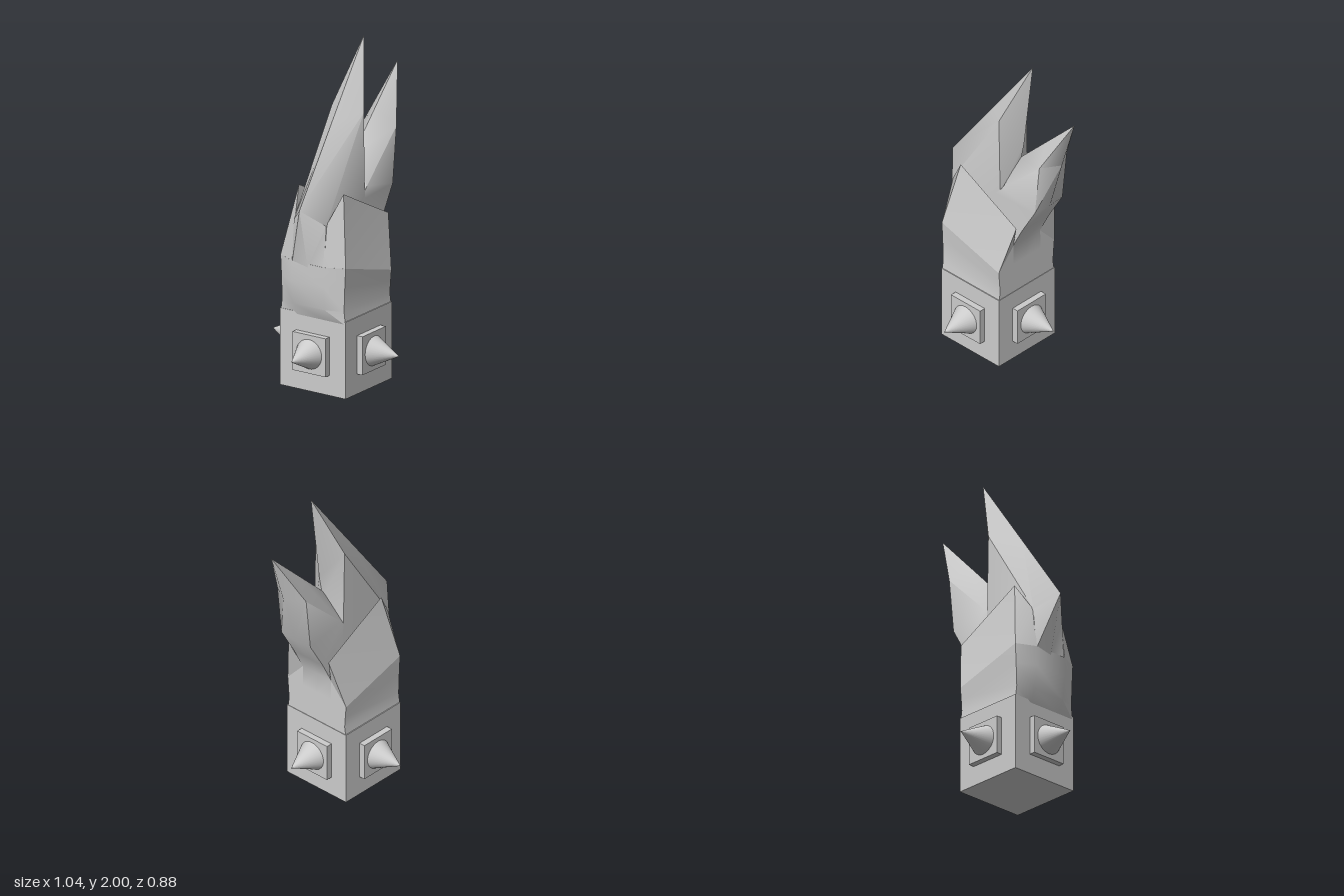
import * as THREE from 'three';
import { toCreasedNormals } from 'three/addons/utils/BufferGeometryUtils.js';

const material = new THREE.MeshStandardMaterial({ color: 0xcccccc });
const CX = -0.085, CZ = -0.008;

function add(parent, name, geometry) {
  const mesh = new THREE.Mesh(geometry, material);
  mesh.name = name;
  parent.add(mesh);
  return mesh;
}

// Skin a run of equal-sized rings of [x, y, z], close both ends, face outward
function loft(rings, crease) {
  const tris = [];
  const push = (...t) => {
    const [a, b, c] = t.map(p => new THREE.Vector3(...p));
    if (new THREE.Triangle(a, b, c).getArea() > 1e-6) tris.push([a, b, c]);
  };
  const n = rings[0].length;
  for (let r = 0; r < rings.length - 1; r++) {
    for (let i = 0; i < n; i++) {
      const j = (i + 1) % n;
      push(rings[r][i], rings[r][j], rings[r + 1][j]);
      push(rings[r][i], rings[r + 1][j], rings[r + 1][i]);
    }
  }
  const first = rings[0], last = rings[rings.length - 1];
  for (let i = 1; i < n - 1; i++) {
    push(first[0], first[i + 1], first[i]);
    push(last[0], last[i], last[i + 1]);
  }
  let volume = 0;
  for (const [a, b, c] of tris) volume += a.dot(b.clone().cross(c));
  if (volume < 0) tris.forEach(t => t.reverse());
  const geometry = new THREE.BufferGeometry().setFromPoints(tris.flat());
  return toCreasedNormals(geometry, crease);
}

// Six-sided spike section: back ridge, back sides, front sides, front ridge
function section(backMid, backSide, frontSide, frontMid) {
  const w = 0.112;
  return [
    [...backMid, 0], [...backSide, w], [...frontSide, w],
    [...frontMid, 0], [...frontSide, -w], [...backSide, -w],
  ];
}
const tip = (x, y) => Array.from({ length: 6 }, () => [x, y, 0]);

// Square plate with a cone, pointing along +z from the cuff wall
function stud() {
  const group = new THREE.Group();
  add(group, 'studPlate', new THREE.BoxGeometry(0.23, 0.23, 0.06)).position.z = 0.235;
  const cone = add(group, 'studSpike', new THREE.ConeGeometry(0.088, 0.175, 32));
  cone.rotation.x = Math.PI / 2;
  cone.position.z = 0.3525;
  return group;
}

export function createModel() {
  const model = new THREE.Group();
  model.name = 'spikedClaw';

  // Cuff block
  add(model, 'cuff', new THREE.BoxGeometry(0.455, 0.46, 0.455)).position.set(CX, 0.23, CZ);

  // A stud on each of the four walls
  for (let i = 0; i < 4; i++) {
    const s = stud();
    s.name = 'stud';
    s.position.set(CX, 0.235, CZ);
    s.rotation.y = i * Math.PI / 2;
    model.add(s);
  }

  const claw = new THREE.Group();
  claw.name = 'claw';
  claw.position.z = CZ;
  model.add(claw);

  // Wrist with a bulge at the back: [y at back, y at front, half width, bulge x]
  const wrist = [
    [0.44, 0.44, 0.225, -0.31], [0.52, 0.51, 0.215, -0.35],
    [0.66, 0.58, 0.22, -0.365], [0.78, 0.65, 0.226, -0.365],
  ].map(([yb, yf, w, xb]) => [
    [0.14, yf, -w], [0.14, yf, w], [-0.31, yb, w],
    [xb, yb, 0.11], [xb, yb, -0.11], [-0.31, yb, -w],
  ]);
  add(claw, 'wrist', loft(wrist, 0.6));

  // Side plates, leaning in to a sharp slanted top edge
  for (const s of [1, -1]) {
    add(claw, 'sidePlate', loft([
      [[-0.31, 0.78, 0.226 * s], [-0.23, 1.19, 0.155 * s], [-0.335, 1.02, 0.108 * s], [-0.365, 0.78, 0.108 * s]],
      [[0.14, 0.65, 0.226 * s], [0.21, 0.96, 0.155 * s], [0.14, 0.78, 0.108 * s], [0.14, 0.65, 0.108 * s]],
    ], 0.4));
  }

  // Tall spike
  add(claw, 'tallSpike', loft([
    section([-0.365, 0.76], [-0.36, 0.76], [0.06, 0.7], [0.06, 0.7]),
    section([-0.445, 1.12], [-0.34, 1.02], [0.04, 1.1], [0.09, 1.28]),
    section([-0.13, 1.557], [0.03, 1.6], [0.03, 1.6], [0.12, 1.43]),
    tip(0.19, 2),
  ], 0.7));

  // Forward spike
  add(claw, 'forwardSpike', loft([
    section([-0.05, 0.7], [-0.05, 0.7], [0.14, 0.65], [0.14, 0.65]),
    section([-0.04, 0.95], [-0.04, 0.95], [0.14, 0.78], [0.14, 0.78]),
    section([0, 1.15], [0, 1.08], [0.21, 0.92], [0.21, 0.92]),
    section([0.09, 1.32], [0.06, 1.15], [0.315, 1.1], [0.325, 1.1]),
    section([0.3, 1.535], [0.35, 1.43], [0.35, 1.43], [0.42, 1.43]),
    tip(0.52, 1.76),
  ], 1.1));

  return model;
}
